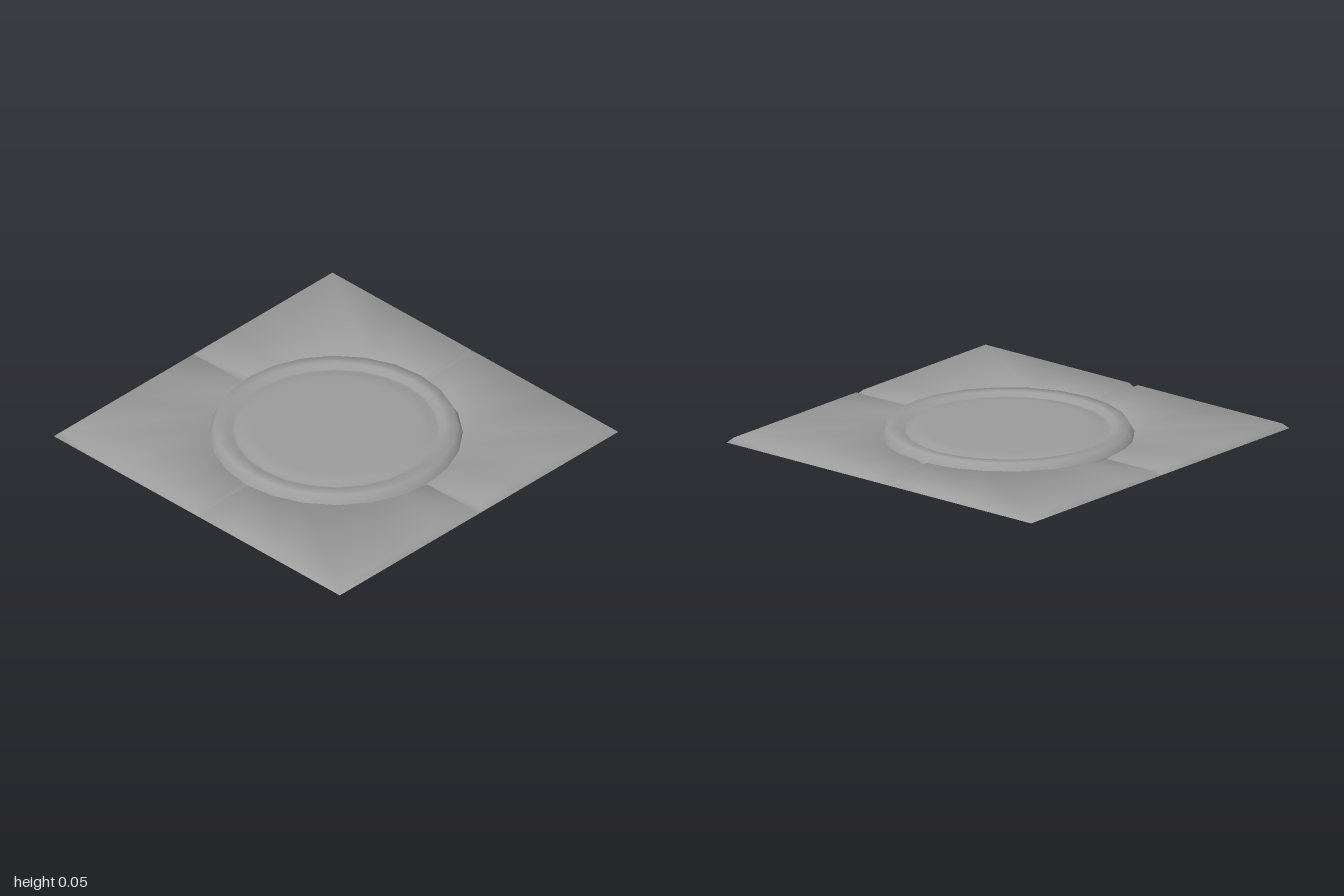
import * as THREE from 'three';
import { mergeVertices } from 'three/addons/utils/BufferGeometryUtils.js';

const material = new THREE.MeshStandardMaterial({ color: 0x9d9d9d, side: THREE.DoubleSide });

const GROOVE = 0.027; // half width of the V grooves
const TOP = 0.026;    // height of the plate

// Soft shading: every face around a vertex counts equally, whatever its size
function softNormals(source) {
  source.deleteAttribute('normal');
  source.deleteAttribute('uv');
  const g = mergeVertices(source, 1e-5);
  const pos = g.attributes.position, index = g.index;
  const sums = Array.from({ length: pos.count }, () => new THREE.Vector3());
  const tri = new THREE.Triangle(), normal = new THREE.Vector3();
  for (let f = 0; f < index.count; f += 3) {
    const ids = [index.getX(f), index.getX(f + 1), index.getX(f + 2)];
    tri.setFromAttributeAndIndices(pos, ...ids);
    tri.getNormal(normal);
    ids.forEach((id) => sums[id].add(normal));
  }
  const normals = sums.flatMap((v) => v.normalize().toArray());
  g.setAttribute('normal', new THREE.Float32BufferAttribute(normals, 3));
  return g;
}

// One loop: a point every 15 degrees, plus a pair of groove shoulders at each axis
function loopPoints(size, square) {
  const pts = [];
  const place = (a) => {
    const c = Math.cos(a), s = Math.sin(a);
    const r = square ? size / Math.max(Math.abs(c), Math.abs(s)) : size;
    return [r * c, r * s];
  };
  const shoulder = square ? Math.atan(GROOVE / size) : Math.asin(GROOVE / size);
  for (let q = 0; q < 4; q++) {
    const a0 = q * Math.PI / 2;
    pts.push([...place(a0), true], [...place(a0 + shoulder), false]);
    for (let k = 1; k < 6; k++) pts.push([...place(a0 + k * Math.PI / 12), false]);
    pts.push([...place(a0 + Math.PI / 2 - shoulder), false]);
  }
  return pts;
}

// Thin square sheet with bevelled rim, round opening and four grooves
function plateGeometry() {
  // size, square?, height, height in the groove
  const loops = [
    [0.577, false, 0.004, 0.004],
    [0.637, false, 0.005, 0.005],
    [0.66, false, TOP, 0.006],
    [0.974, true, TOP, 0.006],
    [1, true, 0, 0],
  ];
  const pos = [], index = [];
  let n = 0;
  loops.forEach(([size, square, h, hGroove]) => {
    const pts = loopPoints(size, square);
    n = pts.length;
    pts.forEach(([x, z, groove]) => pos.push(x, groove ? hGroove : h, z));
  });
  for (let j = 0; j < loops.length - 1; j++) {
    for (let i = 0; i < n; i++) {
      const a = j * n + i, b = j * n + (i + 1) % n;
      index.push(a, b, a + n, b, b + n, a + n);
    }
  }
  const g = new THREE.BufferGeometry();
  g.setAttribute('position', new THREE.Float32BufferAttribute(pos, 3));
  g.setIndex(index);
  return softNormals(g);
}

export function createModel() {
  const group = new THREE.Group();
  group.name = 'floorTile';

  const plate = new THREE.Mesh(plateGeometry(), material);
  plate.name = 'groovedPlate';
  group.add(plate);

  // Raised rim, shallow ring channel and flat centre
  const profile = [
    [0.637, 0.003], [0.61, 0.053], [0.55, 0.053],
    [0.523, 0.033], [0.508, 0.033], [0.478, 0.045], [0.42, 0.047], [0, 0.047],
  ].map(([r, y]) => new THREE.Vector2(r, y));
  const disc = new THREE.Mesh(softNormals(new THREE.LatheGeometry(profile, 24)), material);
  disc.name = 'raisedDisc';
  group.add(disc);

  return group;
}
